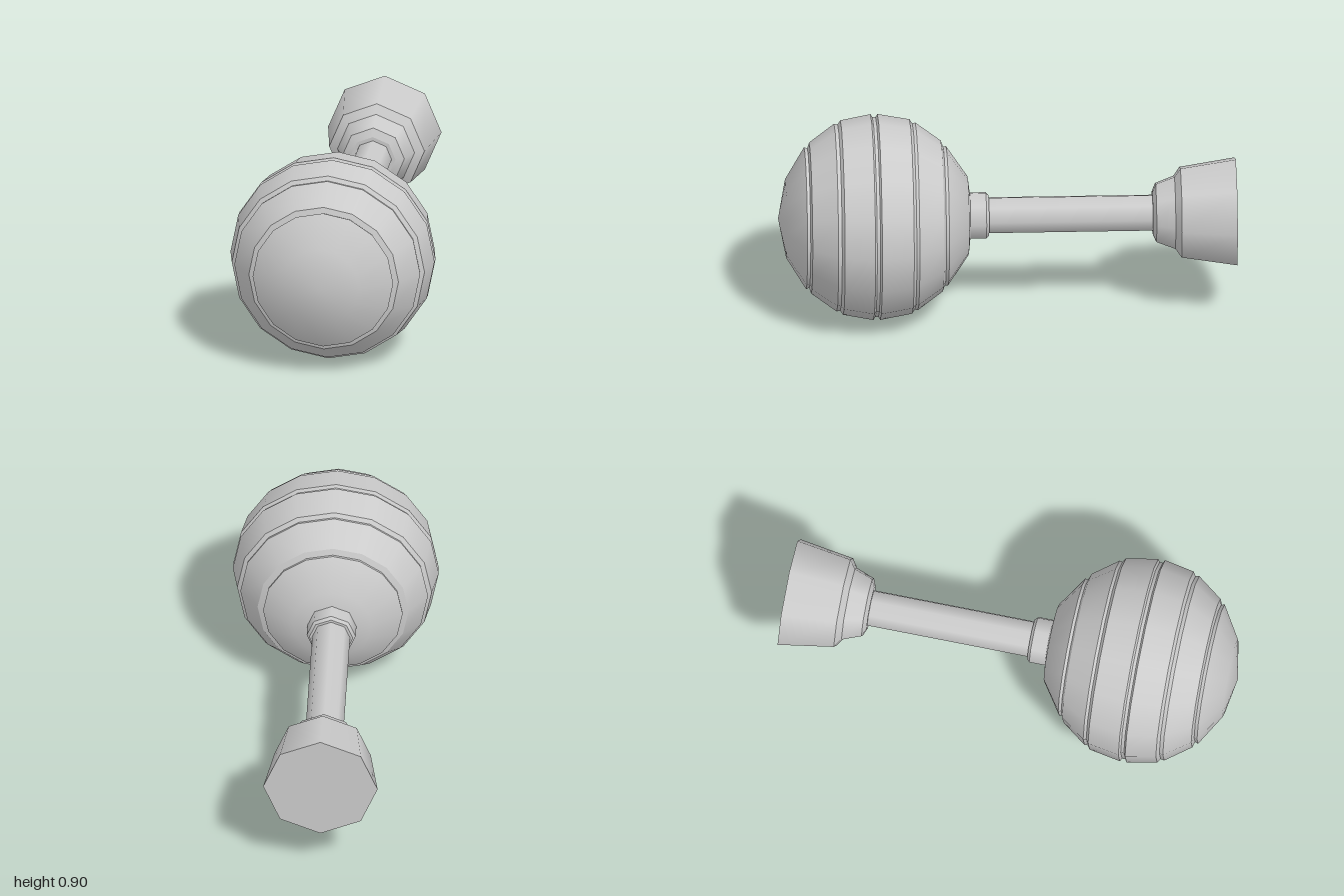
import * as THREE from 'three';

const AXIS_Y = 0.45;
const material = new THREE.MeshStandardMaterial({ color: 0xcccccc });

// Turned surface along z; profile is [radius, z] from back to front, smooth along its length
function turned(profile, sides) {
  const geo = new THREE.LatheGeometry(profile.map(([r, z]) => new THREE.Vector2(r, z)), sides);
  const p = geo.attributes.position, n = geo.attributes.normal;
  const mid = (profile[0][1] + profile[profile.length - 1][1]) / 2;
  for (let i = 0; i < p.count; i++) {
    // straight normal at the pole
    if (Math.hypot(p.getX(i), p.getZ(i)) < 1e-6 && profile.length > 2) n.setXYZ(i, 0, Math.sign(p.getY(i) - mid), 0);
  }
  geo.rotateX(Math.PI / 2);
  return new THREE.Mesh(geo, material);
}

// Several turned surfaces with sharp edges between them
function part(name, sides, ...profiles) {
  const group = new THREE.Group();
  group.name = name;
  profiles.forEach((profile, i) => {
    const mesh = turned(profile, sides);
    mesh.name = `${name}Section${i + 1}`;
    group.add(mesh);
  });
  return group;
}

// Splits a profile so that every corner is sharp
const sharp = (points) => points.slice(1).map((pt, i) => [points[i], pt]);

export function createModel() {
  const model = new THREE.Group();
  model.name = 'ballEndedHandle';
  const body = new THREE.Group();
  body.name = 'body';
  body.position.y = AXIS_Y;
  model.add(body);

  // Ball: domed ends, stepped bands and a shallow groove round the middle
  const backDome = [[0, 0.15], [0.172, 0.17], [0.305, 0.262]];
  const frontDome = [[0.31, 0.882], [0.172, 0.967], [0, 1]];
  const bands = [
    [0.305, 0.262], [0.303, 0.275], [0.33, 0.285],
    [0.41, 0.395], [0.407, 0.408], [0.425, 0.42],
    [0.45, 0.56], [0.437, 0.568], [0.437, 0.582], [0.45, 0.59],
    [0.425, 0.722], [0.407, 0.734], [0.41, 0.75],
    [0.33, 0.86], [0.305, 0.868], [0.31, 0.882],
  ];
  body.add(part('ball', 16, backDome, ...sharp(bands), frontDome));

  // Collar where the rod meets the ball
  body.add(part('collar', 8, ...sharp([[0.08, 0.08], [0.095, 0.08], [0.107, 0.092], [0.107, 0.18]])));

  // Rod
  body.add(part('rod', 8, [[0.083, -0.66], [0.083, 0.1]]));

  // Flared foot with a closed back and a stepped neck
  body.add(part('foot', 8, ...sharp([
    [0, -1], [0.25, -1], [0.21, -0.758], [0.17, -0.732], [0.137, -0.65], [0.1, -0.635], [0, -0.635],
  ])));

  return model;
}
